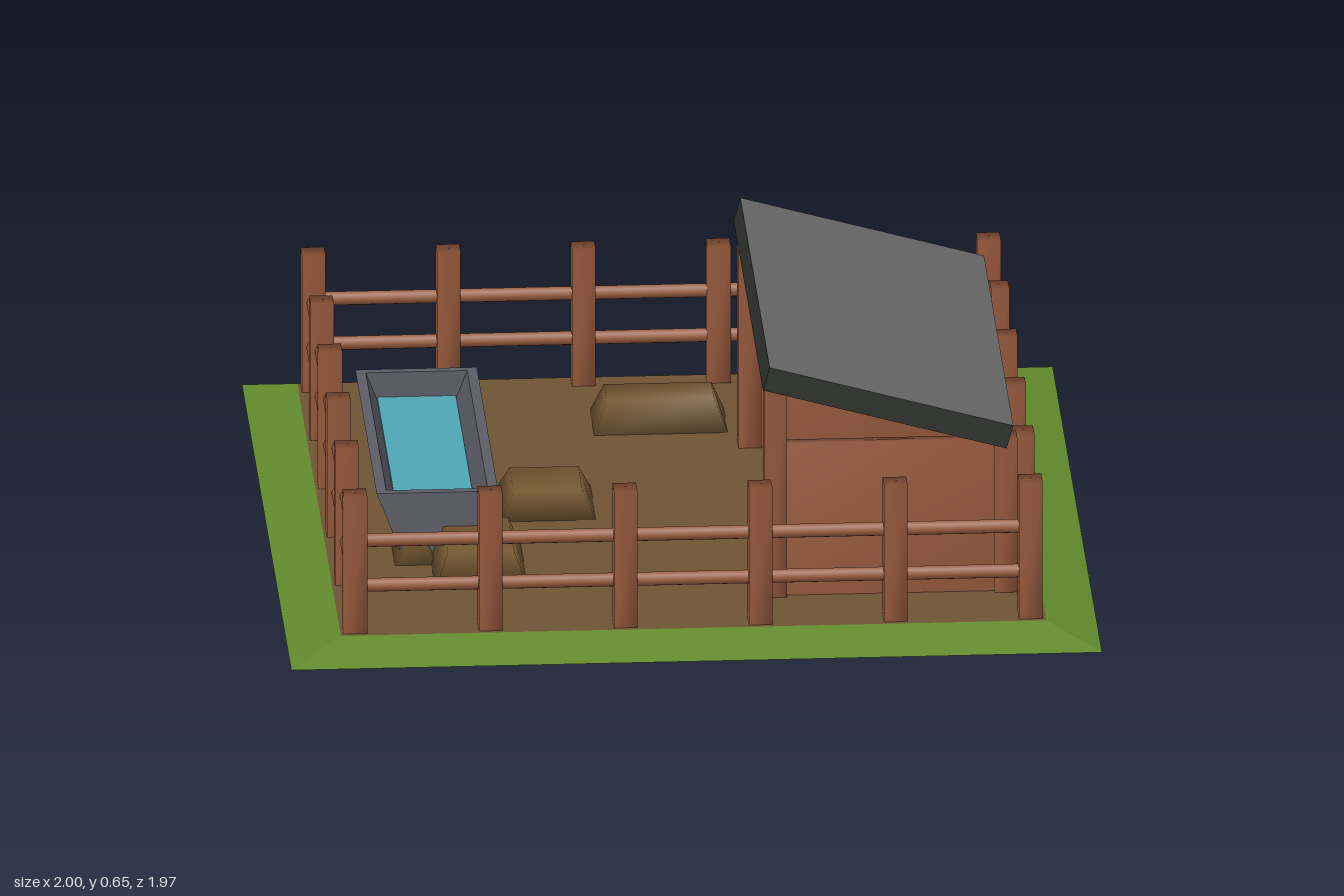
import * as THREE from 'three';
import { mergeVertices } from 'three/addons/utils/BufferGeometryUtils.js';

const mat = (name, color, side = THREE.FrontSide) => {
  const m = new THREE.MeshStandardMaterial({ color, side });
  m.name = name;
  return m;
};

// Share corners so that the normals blend over the edges.
function soften(geo) {
  geo.deleteAttribute('uv');
  geo.deleteAttribute('normal');
  const g = mergeVertices(geo);
  g.computeVertexNormals();
  return g;
}

// Box between two corners; the top can be pulled in by an inset.
function block(x0, x1, y0, y1, z0, z1, inset = 0, soft = true) {
  const g = new THREE.BoxGeometry(x1 - x0, y1 - y0, z1 - z0);
  const p = g.attributes.position;
  for (let i = 0; i < p.count; i++) {
    if (p.getY(i) > 0) {
      p.setX(i, p.getX(i) - Math.sign(p.getX(i)) * inset);
      p.setZ(i, p.getZ(i) - Math.sign(p.getZ(i)) * inset);
    }
  }
  g.computeVertexNormals();
  g.translate((x0 + x1) / 2, (y0 + y1) / 2, (z0 + z1) / 2);
  return soft ? soften(g) : g;
}

export function createModel() {
  const model = new THREE.Group();
  model.name = 'animalPen';
  const grass = mat('grass', 0x628a2c, THREE.DoubleSide);
  const dirt = mat('dirt', 0x6f5434, THREE.DoubleSide);
  const straw = mat('mound', 0x735731);
  const wood = mat('wood', 0x96593c);
  const roofGrey = mat('roofGrey', 0x666667);
  const roofDark = mat('roofDark', 0x2e312d);
  const metal = mat('troughMetal', 0x5c5c66);
  const water = mat('water', 0x4fa6b5);

  const group = (name) => {
    const g = new THREE.Group();
    g.name = name;
    model.add(g);
    return g;
  };
  const add = (parent, name, geo, material) => {
    const m = new THREE.Mesh(geo, material);
    m.name = name;
    parent.add(m);
    return m;
  };

  // Ground: sloping grass border around a raised dirt yard
  const ground = group('ground');
  const rect = (x, y, z0, z1) => [-x, y, z1, x, y, z1, x, y, z0, -x, y, z0];
  const border = new THREE.BufferGeometry();
  border.setAttribute('position', new THREE.Float32BufferAttribute(
    [...rect(1, 0, -0.985, 0.985), ...rect(0.87, 0.04, -0.88, 0.86)], 3));
  const idx = [];
  for (let i = 0; i < 4; i++) {
    const j = (i + 1) % 4;
    idx.push(i, j, j + 4, i, j + 4, i + 4);
  }
  border.setIndex(idx);
  const flatBorder = border.toNonIndexed();
  flatBorder.computeVertexNormals();
  add(ground, 'grassBorder', flatBorder, grass);
  const yard = new THREE.PlaneGeometry(1.74, 1.74).rotateX(-Math.PI / 2).translate(0, 0.04, -0.01);
  add(ground, 'dirtYard', yard, dirt);

  // Fence: six posts per side, two round rails per side
  const fence = group('fence');
  const half = 0.833, cz = -0.014, n = 5;
  const postGeo = block(-0.029, 0.029, 0.012, 0.4, -0.029, 0.029);
  for (let i = 0; i <= n; i++) {
    for (let j = 0; j <= n; j++) {
      if (i % n && j % n) continue;
      const post = add(fence, 'fencePost', postGeo, wood);
      post.position.set(-half + (2 * half * i) / n, 0, cz - half + (2 * half * j) / n);
    }
  }
  const railX = new THREE.CylinderGeometry(0.018, 0.018, 2 * half, 8).rotateZ(Math.PI / 2);
  const railZ = new THREE.CylinderGeometry(0.018, 0.018, 2 * half, 8).rotateX(Math.PI / 2);
  for (const y of [0.157, 0.275]) {
    for (const s of [-1, 1]) {
      add(fence, 'fenceRail', railX, wood).position.set(0, y, cz + s * half);
      add(fence, 'fenceRail', railZ, wood).position.set(s * half, y, cz);
    }
  }

  // Shelter: four posts, three walls, open towards the trough
  const shelter = group('shelter');
  for (const z of [-0.395, 0.635]) {
    add(shelter, 'tallPost', block(0.187, 0.243, 0.012, 0.6, z - 0.028, z + 0.028), wood);
    add(shelter, 'shortPost', block(0.755, 0.811, 0.012, 0.445, z - 0.028, z + 0.028), wood);
    add(shelter, 'sideWall', block(0.22, 0.78, 0.03, 0.44, z - 0.014, z + 0.014), wood);
  }
  add(shelter, 'rearWall', block(0.768, 0.796, 0.03, 0.43, -0.395, 0.635), wood);
  // Lean-to roof with a grey covering over a dark slab
  const roof = add(shelter, 'roof', new THREE.BoxGeometry(0.624, 0.062, 1.172),
    [roofDark, roofDark, roofGrey, roofDark, roofDark, roofDark]);
  roof.position.set(0.491, 0.541, 0.098);
  roof.rotation.z = -0.271;

  // Trough: flared channel with end plates, filled with water
  const trough = group('trough');
  const poly = (pts) => new THREE.Shape(pts.map(([x, y]) => new THREE.Vector2(x, y)));
  const channel = poly([[-0.15, 0.215], [-0.075, 0.02], [0.075, 0.02], [0.15, 0.215],
    [0.125, 0.215], [0.06, 0.045], [-0.06, 0.045], [-0.125, 0.215]]);
  const endPlate = poly([[-0.15, 0.215], [-0.075, 0.02], [0.075, 0.02], [0.15, 0.215]]);
  const extrude = (shape, depth, z) => new THREE.ExtrudeGeometry(shape,
    { depth, bevelEnabled: false }).translate(-0.6, 0, z);
  add(trough, 'channel', extrude(channel, 0.81, -0.487), metal);
  add(trough, 'endPlate', extrude(endPlate, 0.022, -0.509), metal);
  add(trough, 'endPlate', extrude(endPlate, 0.022, 0.323), metal);
  add(trough, 'water', block(-0.697, -0.503, 0.142, 0.15, -0.487, 0.323, 0, false), water);

  // Low mounds in the yard: x0, x1, z0, z1, top
  const mounds = group('mounds');
  for (const [x0, x1, z0, z1, top] of [
    [-0.705, -0.465, -0.715, -0.44, 0.11],
    [-0.165, 0.17, -0.655, -0.475, 0.12],
    [-0.43, -0.19, -0.135, 0.105, 0.105],
    [-0.62, -0.387, 0.255, 0.56, 0.125],
    [-0.71, -0.6, 0.2, 0.39, 0.1],
  ]) {
    add(mounds, 'mound', block(x0, x1, 0.034, top, z0, z1, 0.035), straw);
  }
  return model;
}
